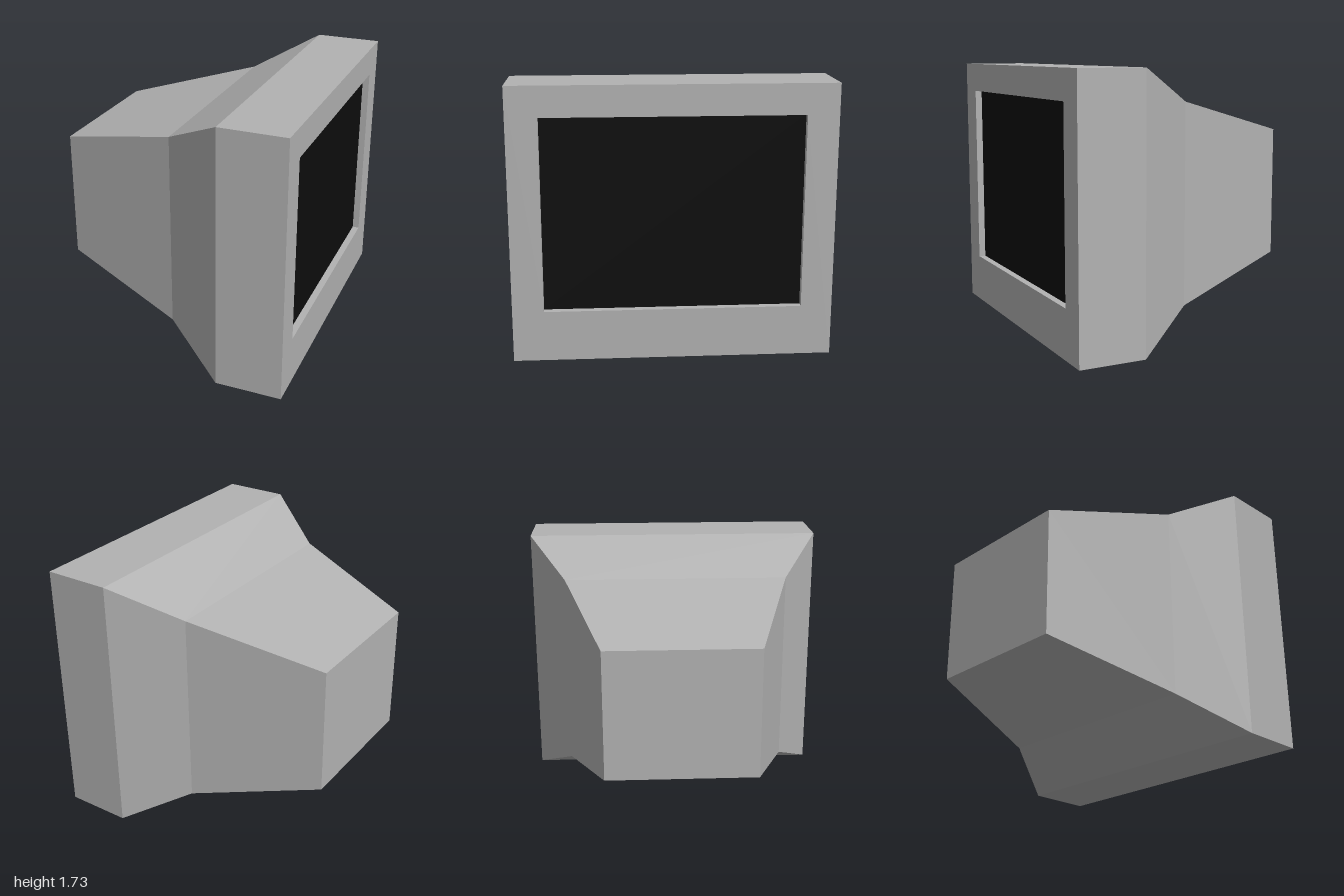
import * as THREE from 'three';

// Rectangular cross-section at x: bottom, top and half width along z,
// counter-clockwise as seen from the screen side (+x)
const ring = (x, bottom, top, half) => [
  [x, bottom, half], [x, bottom, -half], [x, top, -half], [x, top, half],
];

// Flat-sided skin through successive rings, with optional end caps
function loft(name, rings, material, { startCap = false, endCap = false } = {}) {
  const positions = [];
  const quad = (a, b, c, d) => positions.push(...a, ...b, ...c, ...a, ...c, ...d);
  for (let i = 0; i < rings.length - 1; i++) {
    const a = rings[i], b = rings[i + 1];
    for (let j = 0; j < 4; j++) {
      const k = (j + 1) % 4;
      quad(a[j], a[k], b[k], b[j]);
    }
  }
  if (startCap) quad(...[...rings[0]].reverse());
  if (endCap) quad(...rings[rings.length - 1]);
  const geometry = new THREE.BufferGeometry();
  geometry.setAttribute('position', new THREE.Float32BufferAttribute(positions, 3));
  geometry.computeVertexNormals();
  const mesh = new THREE.Mesh(geometry, material);
  mesh.name = name;
  return mesh;
}

export function createModel() {
  const grey = new THREE.MeshStandardMaterial({ color: 0xb2b2b2 });
  grey.name = 'casing grey';
  const black = new THREE.MeshStandardMaterial({ color: 0x0d0d0d });
  black.name = 'screen black';

  const rear = ring(-0.845, 0.44, 1.295, 0.49);
  const waist = ring(0, 0.22, 1.515, 0.745);
  const rimBack = ring(0.41, 0, 1.732, 1);
  const rimFront = ring(0.845, 0, 1.732, 1);
  const opening = ring(0.845, 0.322, 1.54, 0.805);
  const recess = ring(0.8, 0.322, 1.54, 0.805);

  const monitor = new THREE.Group();
  monitor.name = 'monitor';
  monitor.add(
    // Tapered back and square front rim
    loft('housing', [rear, waist, rimBack, rimFront], grey, { startCap: true }),
    // Flat frame and the short walls leading in to the screen
    loft('bezel', [rimFront, opening, recess], grey),
    // Sunken screen
    loft('screen', [recess], black, { endCap: true }),
  );
  return monitor;
}
